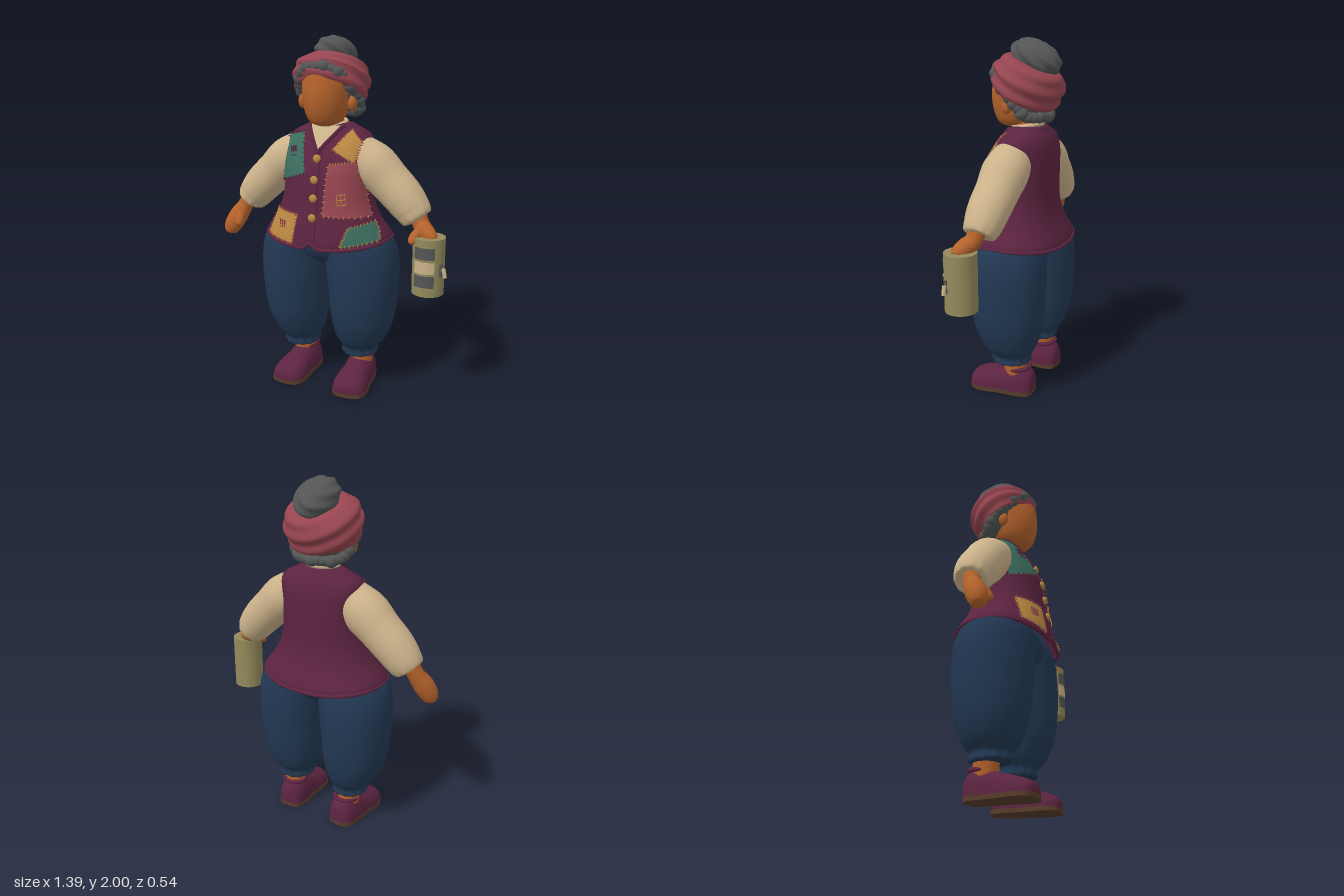
import * as THREE from 'three';
import { mergeGeometries } from 'three/addons/utils/BufferGeometryUtils.js';

const { sin, cos, abs, max, min, sign, asin, PI } = Math;
const V = (x, y, z) => new THREE.Vector3(x, y, z);

// Smooth interpolation through the rows of a small profile table, t in 0..1
function sample(rows, t) {
  const f = t * (rows.length - 1), i = min(Math.floor(f), rows.length - 2), w = f - i;
  const at = (j) => rows[max(0, min(rows.length - 1, j))];
  return rows[0].map((_, k) => {
    const a = at(i - 1)[k], b = at(i)[k], c = at(i + 1)[k], d = at(i + 2)[k];
    return b + 0.5 * w * (c - a + w * (2 * a - 5 * b + 4 * c - d + w * (3 * (b - c) + d - a)));
  });
}

// Grid surface from fn(u, v); u wraps when closed
function surface(nu, nv, fn, closed = true) {
  const pos = [], idx = [], cols = closed ? nu : nu + 1;
  for (let j = 0; j <= nv; j++) for (let i = 0; i < cols; i++) pos.push(...fn(i / nu, j / nv));
  for (let j = 0; j < nv; j++) for (let i = 0; i < nu; i++) {
    const k = (i + 1) % cols, a = j * cols + i, b = j * cols + k;
    idx.push(a, b, b + cols, a, b + cols, a + cols);
  }
  const g = new THREE.BufferGeometry();
  g.setAttribute('position', new THREE.Float32BufferAttribute(pos, 3));
  g.setIndex(idx);
  g.computeVertexNormals();
  return g;
}

// Tapered limb along a path; ripple gathers the cloth near the end
function limb(points, radii, ripple = 0) {
  const curve = new THREE.CatmullRomCurve3(points.map((p) => V(...p)));
  const rows = radii.map((r) => [r]);
  return surface(40, 40, (u, v) => {
    const a = u * 2 * PI, t = curve.getTangent(v);
    const ez = V(0, 0, 1).addScaledVector(t, -t.z).normalize(), ex = t.clone().cross(ez);
    const r = max(0, sample(rows, v)[0]) * (1 + ripple * v ** 5 * sin(11 * a));
    return curve.getPoint(v).addScaledVector(ex, r * sin(a)).addScaledVector(ez, r * cos(a)).toArray();
  });
}

// Vest profile: height, half width, front z, back z
const VEST = [[0.875, 0.365, 0.258, -0.262], [0.91, 0.36, 0.258, -0.257], [1.0, 0.312, 0.24, -0.217],
  [1.1, 0.268, 0.218, -0.193], [1.2, 0.25, 0.208, -0.19], [1.3, 0.25, 0.188, -0.19], [1.4, 0.252, 0.142, -0.185],
  [1.47, 0.235, 0.092, -0.165], [1.51, 0.17, 0.06, -0.14], [1.535, 0.11, 0.035, -0.12], [1.54, 0, -0.04, -0.05]];
const POW = 0.88;
function vestRing(a, row, off = 0) {
  const [y, rx, zf, zb] = row, s = sin(a), c = cos(a);
  const notch = max(0, 1 - abs(Math.atan2(s, c)) / 0.09);
  const lift = (0.035 * s * s + 0.03 * notch) * max(0, 1 - (y - 0.875) / 0.15);
  return [(max(rx, 0) + off) * sign(s) * abs(s) ** POW, y + lift,
    (zf + zb) / 2 + ((zf - zb) / 2 + off) * sign(c) * abs(c) ** POW];
}
// Point on the vest front above a given x, y
function onVest(x, y, off) {
  let lo = 0, hi = 1;
  for (let i = 0; i < 24; i++) { const m = (lo + hi) / 2; if (sample(VEST, m)[0] < y) lo = m; else hi = m; }
  const row = sample(VEST, lo);
  return vestRing(sign(x) * asin(min(0.985, (abs(x) / row[1]) ** (1 / POW))), row, off);
}

export function createModel() {
  const mat = (name, color, side = THREE.FrontSide) =>
    Object.assign(new THREE.MeshStandardMaterial({ color, side }), { name });
  const skin = mat('skin', 0xb4622b), plum = mat('plum', 0x5c2440, THREE.DoubleSide), navy = mat('navy', 0x223853);
  const cream = mat('cream', 0xcbb28a), red = mat('red', 0x964550), grey = mat('grey', 0x545656);
  const brown = mat('brown', 0x573c2a), teal = mat('teal', 0x3b6d5e), gold = mat('gold', 0xb98840), olive = mat('olive', 0x938a5c);

  const model = new THREE.Group(), body = new THREE.Group();
  body.name = 'figure';
  body.position.x = -0.035;
  model.add(body);
  const add = (name, geo, m, p = [0, 0, 0], parent = body) => {
    const o = new THREE.Mesh(geo, m);
    o.name = name;
    o.position.set(...p);
    parent.add(o);
    return o;
  };
  const ball = (name, m, p, s) => { const o = add(name, new THREE.SphereGeometry(1, 24, 16), m, p); o.scale.set(...s); return o; };
  const cord = (name, pts, r, m, closed = false) =>
    add(name, new THREE.TubeGeometry(new THREE.CatmullRomCurve3(pts.map((p) => V(...p)), closed), 80, r, 8, closed), m);

  // Trousers, the legs meeting above the crotch
  const LEG = [[0.19, 0.19, 0.04, -0.02, 0.04], [0.195, 0.19, 0.1, -0.02, 0.108], [0.24, 0.19, 0.103, -0.02, 0.115],
    [0.3, 0.2, 0.145, -0.015, 0.155], [0.42, 0.21, 0.181, -0.01, 0.197], [0.6, 0.213, 0.2, -0.008, 0.217],
    [0.78, 0.203, 0.212, -0.007, 0.217], [0.9, 0.18, 0.2, 0, 0.198], [1.0, 0.14, 0.15, 0, 0.15]];
  ball('hips', navy, [0, 0.88, 0], [0.3, 0.15, 0.192]);
  // Shoe profile: z, half width, height
  const SHOE = [[-0.157, 0, 0.08], [-0.148, 0.055, 0.125], [-0.1, 0.08, 0.165], [-0.03, 0.086, 0.162], [0.04, 0.088, 0.14],
    [0.11, 0.099, 0.12], [0.17, 0.097, 0.1], [0.215, 0.07, 0.076], [0.23, 0, 0.045]];
  const soleShape = new THREE.Shape([1, -1].flatMap((s) => {
    const pts = Array.from({ length: 25 }, (_, i) => sample(SHOE, i / 24)).map(([z, w]) => new THREE.Vector2(s * w * 1.02, -z));
    return s > 0 ? pts : pts.reverse();
  }));

  for (const s of [1, -1]) {
    const side = s > 0 ? 'left' : 'right';
    add(side + 'TrouserLeg', surface(56, 48, (u, v) => {
      const a = u * 2 * PI, [y, cx, rx, cz, rz] = sample(LEG, v);
      const k = 1 + 0.04 * max(0, 1 - (y - 0.19) / 0.2) * cos(13 * a) + 0.006 * cos(5 * a);
      return [s * cx + rx * k * sin(a), y, cz + rz * k * cos(a)];
    }), navy);

    // Ankle and shoe
    add(side + 'Ankle', new THREE.CylinderGeometry(0.07, 0.062, 0.14, 24), skin, [s * 0.19, 0.16, -0.045]);
    const shoe = new THREE.Group();
    shoe.name = side + 'Shoe';
    shoe.position.x = s * 0.187;
    shoe.rotation.y = s * 0.06;
    body.add(shoe);
    add('shoeUpper', surface(32, 32, (u, v) => {
      const a = u * 2 * PI, [z, w, h] = sample(SHOE, v);
      return [max(0, w) * sign(cos(a)) * abs(cos(a)) ** 0.85, 0.02 + (h - 0.02) * max(0, sin(a)) ** 0.8, z];
    }), plum, [0, 0, 0], shoe);
    add('shoeCollar', new THREE.TorusGeometry(0.064, 0.012, 10, 32).rotateX(PI / 2 + 0.12), plum, [0, 0.152, -0.065], shoe);
    add('shoeSole', new THREE.ExtrudeGeometry(soleShape, { depth: 0.024, bevelEnabled: false }).rotateX(-PI / 2), brown, [0, 0, 0], shoe);

    // Puffed sleeve with gathered cuff
    add(side + 'Sleeve', limb([[s * 0.17, 1.37, -0.02], [s * 0.265, 1.31, -0.02], [s * 0.35, 1.235, -0.02], [s * 0.435, 1.155, -0.015],
      [s * 0.495, 1.085, -0.01], [s * 0.525, 1.045, 0], [s * 0.53, 1.038, 0]], [0.115, 0.127, 0.117, 0.112, 0.1, 0.08, 0.03], 0.07), cream);

    // Head sides
    ball(side + 'Ear', skin, [s * 0.15, 1.65, 0.025], [0.024, 0.042, 0.028]);
  }

  // Hands: the right hangs free, the left grips the canister
  add('rightHand', limb([[-0.525, 1.07, 0], [-0.555, 1.01, 0.015], [-0.585, 0.95, 0.045], [-0.612, 0.89, 0.07], [-0.622, 0.85, 0.078],
    [-0.623, 0.838, 0.079]], [0.048, 0.046, 0.056, 0.052, 0.034, 0]), skin);
  add('rightThumb', limb([[-0.565, 0.97, 0.06], [-0.55, 0.94, 0.09], [-0.546, 0.91, 0.108], [-0.545, 0.9, 0.112]], [0.03, 0.027, 0.02, 0]), skin);
  add('leftHand', limb([[0.525, 1.07, 0], [0.555, 1.015, 0.015], [0.585, 0.99, 0.04], [0.62, 0.97, 0.06], [0.645, 0.955, 0.07],
    [0.65, 0.953, 0.07]], [0.048, 0.046, 0.048, 0.04, 0.025, 0]), skin);
  add('leftThumb', limb([[0.56, 0.99, 0.05], [0.538, 0.965, 0.09], [0.535, 0.94, 0.108], [0.535, 0.925, 0.11]], [0.03, 0.026, 0.022, 0]), skin);

  // Vest with rolled hem, neckline and front edge
  add('vest', surface(96, 64, (u, v) => vestRing(u * 2 * PI, sample(VEST, v))), plum);
  cord('vestHem', Array.from({ length: 72 }, (_, i) => vestRing(i / 36 * PI, VEST[0])), 0.011, plum, true);
  cord('vestNeckline', Array.from({ length: 17 }, (_, i) => {
    const x = (i - 8) / 8 * 0.1;
    return onVest(x, 1.39 + abs(x) * 1.38, 0.004);
  }), 0.011, plum);
  cord('vestFrontEdge', Array.from({ length: 12 }, (_, i) => onVest(0.022, 0.9 + i * 0.045, 0)), 0.007, plum);
  [1.36, 1.25, 1.15, 1.045].forEach((y) => ball('button', gold, onVest(0.005, y, 0.006), [0.023, 0.023, 0.014]));

  // Cloth patches laid over the vest: corners bottom left, bottom right, top right, top left
  const quad = (c, u, v, off) => {
    const mix = (k) => (c[0][k] * (1 - u) + c[1][k] * u) * (1 - v) + (c[3][k] * (1 - u) + c[2][k] * u) * v;
    return onVest(mix(0), mix(1), off);
  };
  // Border stitches, plus a small darned square at (mu, mv) when given
  const patch = (name, m, c, thread, mu, mv) => {
    add(name, surface(14, 14, (u, v) => quad(c, u, v, 0.007), false), m);
    if (!thread) return;
    const stitches = [];
    const stitch = (u, v, w, h, turn) => {
      const p = quad(c, u, v, 0.008);
      stitches.push(new THREE.BoxGeometry(w, h, 0.006).rotateZ(turn).rotateY(asin(max(-1, min(1, p[0] / 0.38)))).translate(...p));
    };
    for (let e = 0; e < 4; e++) for (let i = 0; i < 9; i++) {
      const t = (i + 0.5) / 9, [u, v] = [[t, 0], [1, t], [t, 1], [0, t]][e];
      stitch(u, v, e % 2 ? 0.016 : 0.004, e % 2 ? 0.004 : 0.016, (i % 2 - 0.5) * 0.6);
    }
    if (mu) for (const d of [-0.1, 0, 0.1]) {
      stitch(mu + d, mv, 0.004, 0.05, 0.1);
      stitch(mu, mv + d, 0.05, 0.004, 0.1);
    }
    add(name + 'Stitches', mergeGeometries(stitches), thread);
  };
  patch('shirtFront', cream, [[0, 1.395], [0, 1.395], [0.098, 1.528], [-0.098, 1.528]]);
  patch('upperRightPatch', teal, [[-0.235, 1.215], [-0.05, 1.28], [-0.11, 1.49], [-0.225, 1.465]], plum, 0.55, 0.6);
  patch('upperLeftPatch', gold, [[0.078, 1.41], [0.2, 1.34], [0.215, 1.45], [0.145, 1.512]], red);
  patch('sidePatch', red, [[0.06, 1.06], [0.285, 1.05], [0.205, 1.35], [0.075, 1.335]], gold, 0.45, 0.33);
  patch('lowerRightPatch', gold, [[-0.29, 0.9], [-0.105, 0.89], [-0.085, 1.055], [-0.25, 1.065]], red, 0.5, 0.55);
  patch('lowerLeftPatch', teal, [[0.17, 0.895], [0.345, 0.905], [0.305, 1.025], [0.2, 1.0]], gold);

  // Neck and head
  add('neck', new THREE.CylinderGeometry(0.068, 0.078, 0.13, 32), skin, [0, 1.53, -0.025]);
  add('shirtCollar', new THREE.TorusGeometry(0.082, 0.013, 10, 40).rotateX(PI / 2 + 0.15), cream, [0, 1.535, -0.03]);
  const HEAD = [[1.523, 0, 0.06, 0.05], [1.53, 0.05, 0.11, 0], [1.555, 0.092, 0.145, -0.06], [1.61, 0.118, 0.168, -0.1], [1.68, 0.13, 0.179, -0.12],
    [1.76, 0.135, 0.172, -0.13], [1.83, 0.12, 0.15, -0.12], [1.89, 0.06, 0.08, -0.06]];
  add('head', surface(48, 40, (u, v) => {
    const a = u * 2 * PI, [y, rx, zf, zb] = sample(HEAD, v);
    return [rx * sin(a), y, (zf + zb) / 2 + (zf - zb) / 2 * cos(a)];
  }), skin);

  // Wavy hair: a thick roll framing the face and nape, with soft overlapping curls
  ball('hair', grey, [0, 1.72, -0.05], [0.178, 0.15, 0.15]);
  const half = [[0.085, 1.828, 0.122], [0.135, 1.775, 0.08], [0.16, 1.71, 0.02], [0.164, 1.65, -0.04], [0.145, 1.605, -0.07], [0.085, 1.59, -0.12]];
  const hairLine = [[0, 1.845, 0.135], ...half, [0, 1.59, -0.145], ...half.map(([x, y, z]) => [-x, y, z]).reverse()];
  cord('hairRoll', hairLine, 0.029, grey, true);
  const ring = new THREE.CatmullRomCurve3(hairLine.map((p) => V(...p)), true);
  const curls = Array.from({ length: 32 }, (_, i) => {
    const p = ring.getPointAt(i / 32), r = 0.034 + 0.005 * sin(i * 2.4);
    return new THREE.SphereGeometry(r, 14, 10).scale(1, 0.9, 1).translate(p.x, p.y + 0.004 * sin(i * 1.9), p.z);
  });
  add('curls', mergeGeometries(curls), grey);

  // Folded headscarf, tilted down to the back
  const SCARF = [[-0.085, 0.165], [-0.1, 0.19], [-0.065, 0.21], [-0.02, 0.214], [0.025, 0.211], [0.06, 0.197], [0.085, 0.168], [0.096, 0.13], [0.095, 0.07], [0.095, 0]];
  const scarf = add('headscarf', surface(72, 54, (u, v) => {
    const a = u * 2 * PI, [h, r] = sample(SCARF, v);
    const f = r + (r > 0.1 ? 0.007 * sin(h * 75 + 2.2 * sin(a) + 0.8 * cos(2 * a)) : 0);
    return [f * sin(a), h + (h < 0 ? 0.03 * max(0, cos(a)) : 0), f * 0.94 * cos(a)];
  }), red, [0, 1.778, -0.034]);
  scarf.rotation.x = -0.43;

  // Coiled bun
  const bun = add('hairBun', surface(64, 48, (u, v) => {
    const a = u * 2 * PI, b = (v - 0.5) * PI, k = 0.965 + 0.04 * sin(5 * a + 8 * b) * cos(b);
    return [0.117 * k * cos(b) * sin(a), 0.092 * k * sin(b), 0.152 * k * cos(b) * cos(a)];
  }), grey, [0.005, 1.9, -0.08]);
  bun.rotation.x = -0.42;

  // Canister with front panels and side crank
  const can = new THREE.Group();
  can.name = 'canister';
  can.position.set(0.613, 0.813, 0.055);
  body.add(can);
  add('canisterBody', new THREE.CylinderGeometry(0.087, 0.087, 0.315, 40), olive, [0, 0, 0], can);
  [[0.083, grey], [0.005, cream], [-0.072, grey]].forEach(([y, m], i) => {
    const plate = new THREE.CylinderGeometry(0.091, 0.091, 0.064, 16, 1, false, -0.65, 1.3);
    add('canisterPanel' + (i + 1), plate, m, [0, y, 0], can);
  });
  add('crankPlate', new THREE.BoxGeometry(0.012, 0.07, 0.016), grey, [0.08, -0.01, 0.04], can);
  add('crankArm', new THREE.CylinderGeometry(0.007, 0.007, 0.03, 10).rotateZ(PI / 2), cream, [0.088, -0.01, 0.04], can);
  add('crankHandle', new THREE.CylinderGeometry(0.011, 0.011, 0.05, 12).rotateZ(0.2), cream, [0.1, -0.022, 0.04], can);
  return model;
}
